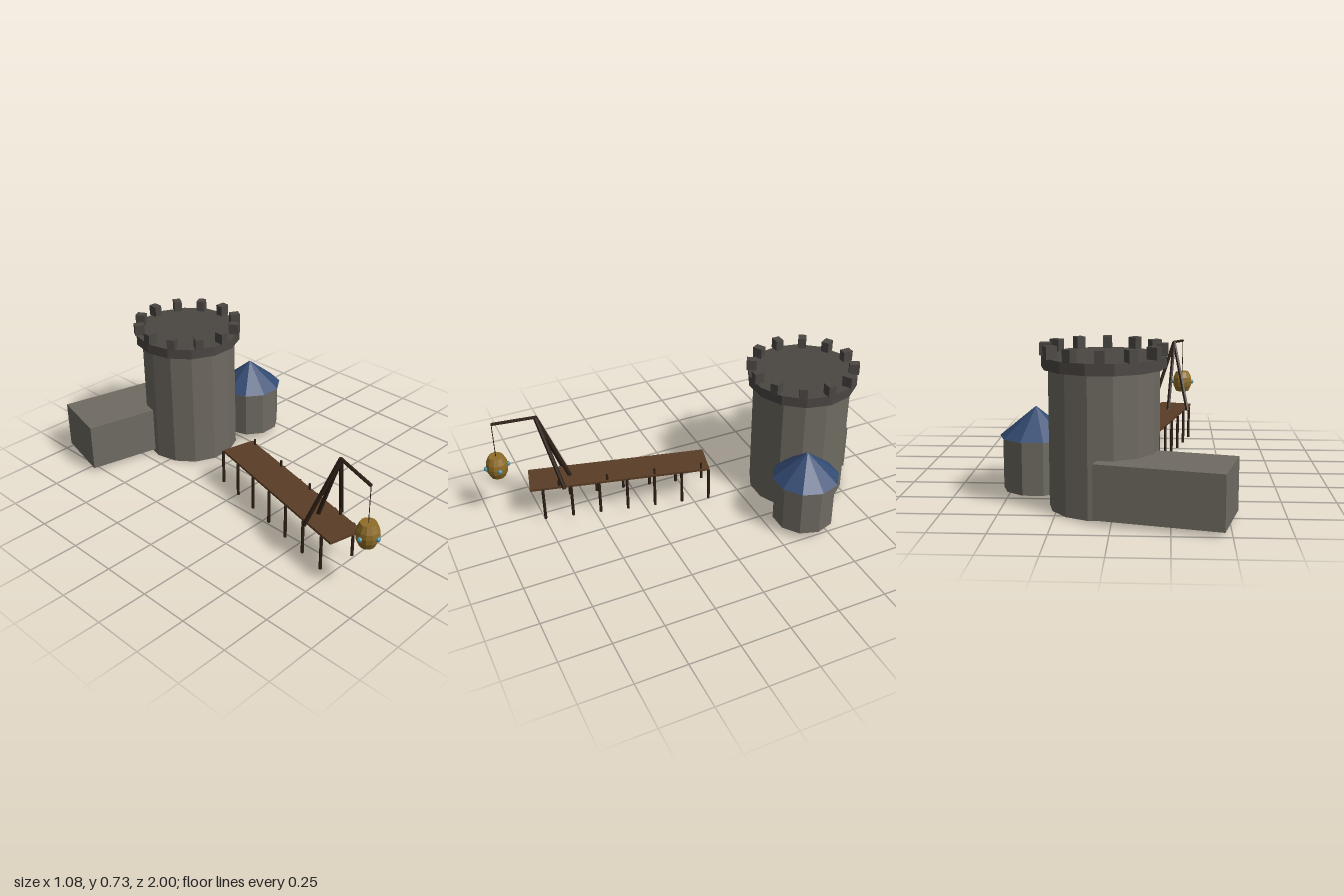
import * as THREE from 'three';

const mat = (color) => new THREE.MeshStandardMaterial({ color, flatShading: true });
const stone = mat(0x6f6b62), darkStone = mat(0x4b4743), slate = mat(0x324a72);
const deckWood = mat(0x5a3d26), darkWood = mat(0x2e2117), oak = mat(0x8f6d28), teal = mat(0x4f94a8);

function add(parent, name, geometry, material, x = 0, y = 0, z = 0) {
  const mesh = new THREE.Mesh(geometry, material);
  mesh.name = name;
  mesh.position.set(x, y, z);
  parent.add(mesh);
  return mesh;
}

// Upright prism with a corner pointing along x, from y0 to y1
function prism(parent, name, rTop, rBottom, y0, y1, sides, material) {
  const geo = new THREE.CylinderGeometry(rTop, rBottom, y1 - y0, sides);
  geo.rotateY(Math.PI / 2);
  return add(parent, name, geo, material, 0, (y0 + y1) / 2, 0);
}

// Round bar between two points
function bar(parent, name, a, b, r, material = darkWood) {
  const from = new THREE.Vector3(...a), to = new THREE.Vector3(...b);
  const dir = to.clone().sub(from);
  const mesh = add(parent, name, new THREE.CylinderGeometry(r, r, dir.length(), 6), material);
  mesh.position.copy(from).add(to).multiplyScalar(0.5);
  mesh.quaternion.setFromUnitVectors(new THREE.Vector3(0, 1, 0), dir.normalize());
  return mesh;
}

function group(parent, name, x, y, z, turn = 0) {
  const g = new THREE.Group();
  g.name = name;
  g.position.set(x, y, z);
  g.rotation.y = turn;
  parent.add(g);
  return g;
}

export function createModel() {
  const model = new THREE.Group();
  model.name = 'harbourKeep';
  const turn = -0.238;

  // Main tower with a crown of merlons
  const tower = group(model, 'tower', 0.047, 0, -0.575);
  prism(tower, 'towerBody', 0.246, 0.246, 0, 0.626, 14, stone);
  prism(tower, 'towerCollar', 0.275, 0.275, 0.626, 0.677, 14, darkStone);
  for (let i = 0; i < 12; i++) {
    const a = (i / 12) * Math.PI * 2;
    const merlon = add(tower, 'merlon', new THREE.BoxGeometry(0.04, 0.055, 0.05), darkStone,
      Math.sin(a) * 0.255, 0.7035, Math.cos(a) * 0.255);
    merlon.rotation.y = a;
  }

  // Side turret with a pointed roof
  const turret = group(model, 'turret', 0.368, 0, -0.433);
  prism(turret, 'turretBody', 0.155, 0.155, 0.037, 0.283, 10, stone);
  prism(turret, 'turretRoof', 0, 0.168, 0.283, 0.421, 10, slate);

  // Long annex behind the tower
  const annex = add(model, 'annex', new THREE.BoxGeometry(0.561, 0.242, 0.311), stone, -0.2325, 0.141, -0.783);
  annex.rotation.y = turn;

  // Pier: deck, paired piles and mooring posts along both sides
  const pier = group(model, 'pier', -0.175, 0, 0.348, turn);
  add(pier, 'deck', new THREE.BoxGeometry(0.174, 0.012, 0.914), deckWood, 0, 0.2, 0);
  for (const side of [-1, 1]) {
    for (let i = 0; i < 7; i++) {
      const z = -0.452 + i * 0.141;
      bar(pier, 'pile', [side * 0.09, 0.02, z], [side * 0.09, 0.2, z], 0.0075);
    }
  }
  for (let i = 0; i < 4; i++) {
    const z = -0.415 + i * 0.242;
    bar(pier, 'mooringPost', [0.077, 0.2, z], [0.077, 0.238, z], 0.006);
  }

  // Three-legged crane with a jib and rope
  const crane = group(model, 'crane', 0, 0, 0);
  const apex = [-0.267, 0.573, 0.728], tip = [-0.32, 0.557, 0.932];
  for (const foot of [[-0.345, 0.2, 0.597], [-0.236, 0.2, 0.588], [-0.143, 0.2, 0.65]]) {
    bar(crane, 'craneLeg', foot, apex, 0.011);
  }
  bar(crane, 'craneJib', apex, tip, 0.008);
  bar(crane, 'rope', tip, [-0.32, 0.365, 0.932], 0.002);

  // Hanging barrel with four studs
  const barrel = group(model, 'barrel', -0.32, 0.313, 0.932);
  const profile = [[0, -0.058], [0.037, -0.058], [0.052, -0.025], [0.055, 0], [0.052, 0.025], [0.037, 0.058], [0, 0.058]]
    .map(([r, y]) => new THREE.Vector2(r, y));
  add(barrel, 'barrelBody', new THREE.LatheGeometry(profile, 12), oak);
  for (let i = 0; i < 4; i++) {
    const a = (i * Math.PI) / 2;
    add(barrel, 'stud', new THREE.SphereGeometry(0.012, 8, 6), teal, Math.sin(a) * 0.055, -0.003, Math.cos(a) * 0.055);
  }
  return model;
}
